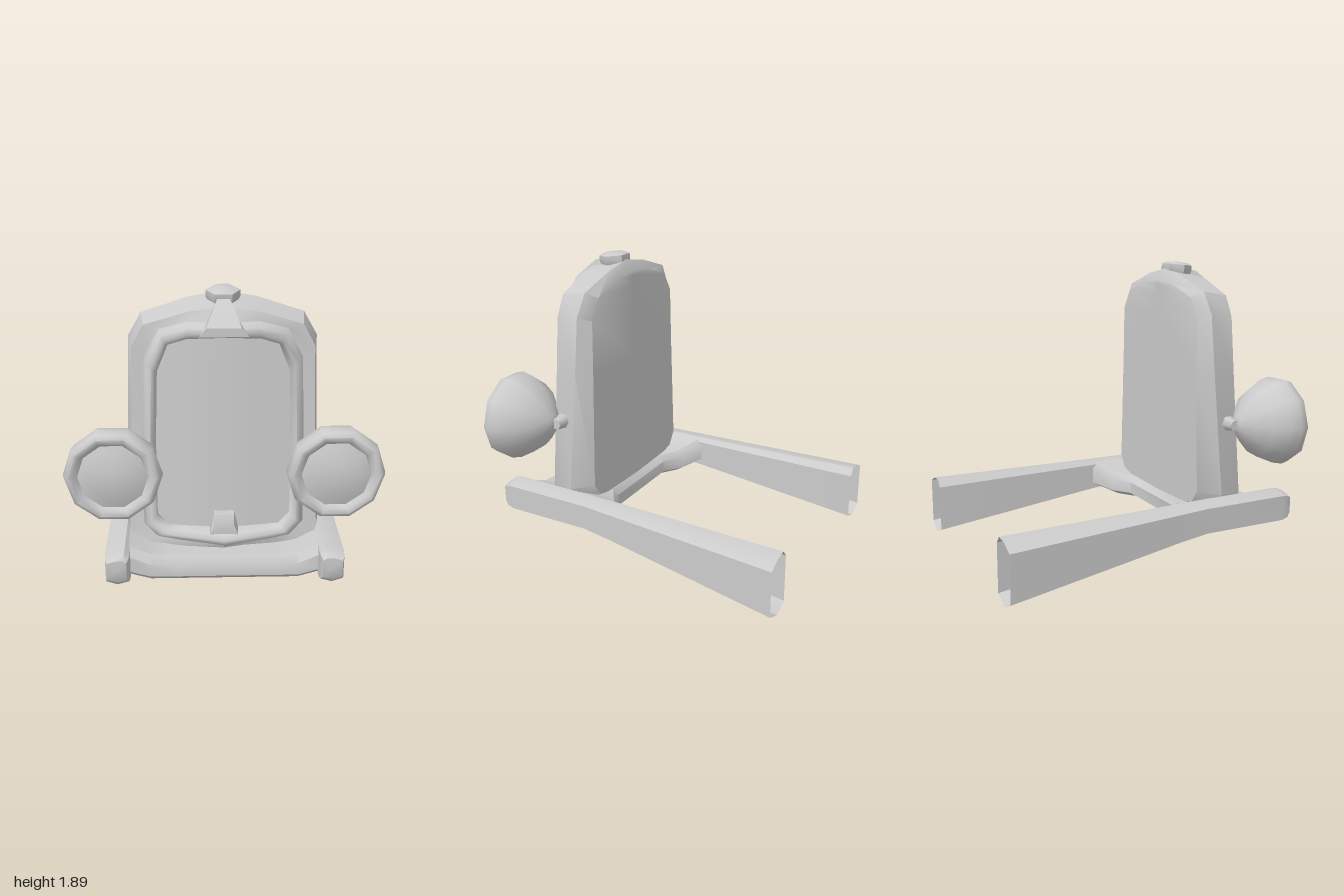
import * as THREE from 'three';
import { toCreasedNormals } from 'three/addons/utils/BufferGeometryUtils.js';

const grey = new THREE.MeshStandardMaterial({ color: 0xcccccc, side: THREE.DoubleSide });

function add(parent, name, geometry) {
  const mesh = new THREE.Mesh(geometry, grey);
  mesh.name = name;
  parent.add(mesh);
  return mesh;
}

// Skins closed rings of [x, y, z]; each ring runs clockwise seen from the end of the loft.
function loft(rings, crease = 0.7) {
  const n = rings[0].length;
  const index = [];
  for (let i = 0; i < rings.length - 1; i++) {
    for (let j = 0; j < n; j++) {
      const a = i * n + j, b = i * n + (j + 1) % n;
      index.push(a, a + n, b, b, a + n, b + n);
    }
  }
  const g = new THREE.BufferGeometry();
  g.setAttribute('position', new THREE.Float32BufferAttribute(rings.flat(2), 3));
  g.setIndex(index);
  return toCreasedNormals(g, crease);
}

// Ring shrunk to its middle, used to close a loft.
function collapsed(ring) {
  const c = [0, 1, 2].map(k => ring.reduce((s, p) => s + p[k], 0) / ring.length);
  return ring.map(() => c);
}

// Full outline from the half running top centre -> left side -> bottom centre.
function outline(half, z, xScale = 1) {
  const full = [...half, ...half.slice(1, -1).reverse().map(([x, y]) => [-x, y])];
  return full.map(([x, y]) => [x * xScale, y, z(Math.abs(x * xScale), y)]);
}

// Leaning, V-shaped front of the radiator
const lean = y => 0.67 + 0.062 * (1.55 - y);
const frameZ = (x, y) => lean(y) + 0.22 * (0.45 - x);
const grilleZ = (x, y) => lean(y) - 0.05 + 0.1 * (0.4 - x);

const backHalf = [[0, 1.77], [0.2, 1.75], [0.41, 1.68], [0.49, 1.55], [0.5, 1.2], [0.53, 0.45], [0.47, 0.36], [0.38, 0.34], [0, 0.33]];
const wideHalf = [[0, 1.845], [0.2, 1.81], [0.48, 1.72], [0.56, 1.58], [0.57, 1.2], [0.6, 0.42], [0.57, 0.33], [0.45, 0.3], [0, 0.3]];
const brimHalf = [[0, 1.8], [0.19, 1.775], [0.46, 1.69], [0.53, 1.56], [0.54, 1.2], [0.57, 0.42], [0.54, 0.33], [0.43, 0.3], [0, 0.3]];
const outerHalf = [[0, 1.72], [0.2, 1.72], [0.37, 1.67], [0.46, 1.5], [0.475, 1.1], [0.485, 0.46], [0.41, 0.385], [0.3, 0.375], [0, 0.36]];
const innerHalf = [[0, 1.64], [0.21, 1.62], [0.32, 1.58], [0.385, 1.42], [0.4, 1.0], [0.4, 0.53], [0.335, 0.46], [0.25, 0.455], [0, 0.45]];

function radiator() {
  const g = new THREE.Group();
  g.name = 'radiator';
  const flat = () => 0.375;
  const between = t => outerHalf.map(([x, y], i) => [
    x + (innerHalf[i][0] - x) * t, y + (innerHalf[i][1] - y) * t]);
  add(g, 'radiatorShell', loft([
    outline(backHalf, flat, 0),
    outline(backHalf, flat),
    outline(wideHalf, (x, y) => 0.42 + 0.07 * (1.84 - y)),
    outline(brimHalf, (x, y) => lean(y) - 0.06 + 0.12 * (0.5 - x)),
    outline(outerHalf, (x, y) => frameZ(x, y) - 0.06),
  ]));
  // Rounded rim around the grille
  add(g, 'grilleFrame', loft([
    outline(outerHalf, (x, y) => frameZ(x, y) - 0.06),
    outline(between(0.25), (x, y) => frameZ(x, y) - 0.01),
    outline(between(0.6), frameZ),
    outline(between(0.9), (x, y) => frameZ(x, y) - 0.025),
    outline(innerHalf, grilleZ),
  ], 1.2));
  add(g, 'grille', loft([
    outline(innerHalf, grilleZ),
    outline(innerHalf, grilleZ, 0.5),
    outline(innerHalf, grilleZ, 0),
  ]));

  // Neck running from the cap down to the rim
  const neck = [[0.5, 1.8, 1.85, 0.035], [0.64, 1.75, 1.83, 0.06], [0.73, 1.68, 1.745, 0.12], [0.765, 1.66, 1.71, 0.14]]
    .map(([z, y0, y1, w]) => [[-w * 0.7, y1, z], [w * 0.7, y1, z], [w, y0, z], [-w, y0, z]]);
  add(g, 'capNeck', loft([...neck, collapsed(neck[3])]));

  // Hexagonal filler cap
  const cap = toCreasedNormals(new THREE.LatheGeometry(
    [[0.08, -0.06], [0.1, -0.025], [0.1, 0.015], [0.07, 0.03], [0, 0.035]].map(p => new THREE.Vector2(...p)),
    6, Math.PI / 2), 0.6);
  const capMesh = add(g, 'fillerCap', cap);
  capMesh.position.set(0, 1.855, 0.515);
  capMesh.rotation.x = 0.1;

  // Small plate at the foot of the grille
  const plate = [[0.68, 0.09, 0.44, 0.56], [0.775, 0.085, 0.44, 0.56], [0.8, 0.085, 0.44, 0.5]]
    .map(([z, w, y0, y1]) => [[-0.06, y1, z], [0.06, y1, z], [w, y0, z], [-w, y0, z]]);
  add(g, 'grillePlate', loft([...plate, collapsed(plate[2])], 0.4));
  return g;
}

function frameRail(side) {
  // z, inner x, outer x, bottom, top
  const stations = [
    [-1, 0.6, 0.81, 0.005, 0.4], [0.15, 0.57, 0.725, 0.178, 0.41], [0.35, 0.57, 0.71, 0.2, 0.413],
    [0.93, 0.56, 0.705, 0.2, 0.415], [0.975, 0.565, 0.7, 0.215, 0.405], [1, 0.575, 0.69, 0.25, 0.385],
  ];
  const rings = stations.map(([z, xi, xo, yb, yt]) => {
    const w = xo - xi, h = yt - yb;
    const ring = [
      [xi + 0.2 * w, yt], [xi + 0.6 * w, yt - 0.02 * h], [xo, yt - 0.12 * h], [xo, yb + 0.12 * h],
      [xi + 0.5 * w, yb], [xi, yb + 0.1 * h], [xi, yt - 0.12 * h],
    ].map(([x, y]) => [x * side, y, z]);
    return side < 0 ? ring.reverse() : ring;
  });
  rings.push(collapsed(rings[rings.length - 1]));
  return loft(rings);
}

function crossmember() {
  // x, rear z, bottom, top
  const half = [[0.58, 0.15, 0.22, 0.4], [0.44, 0.25, 0.18, 0.34], [0.31, 0.34, 0.18, 0.33]];
  const stations = [...half.map(([x, ...r]) => [-x, ...r]), ...half.slice().reverse()];
  const rings = stations.map(([x, zb, yb, yt]) => [
    [0.85, yt], [zb + 0.04, yt], [zb, yt - 0.04], [zb, yb + 0.03],
    [zb + 0.05, yb], [0.86, yb], [0.89, yb + 0.03], [0.89, yt - 0.05],
  ].map(([z, y]) => [x, y, z]));
  return loft([collapsed(rings[0]), ...rings, collapsed(rings[rings.length - 1])]);
}

function headlamp(side) {
  const g = new THREE.Group();
  g.name = side > 0 ? 'leftHeadlamp' : 'rightHeadlamp';
  const turned = (points, crease) => {
    const lathe = new THREE.LatheGeometry(points.map(p => new THREE.Vector2(...p)), 10, Math.PI / 2);
    return toCreasedNormals(lathe.rotateX(Math.PI / 2), crease);
  };
  // Bowl and rolled rim, then the bulging lens
  const bowl = turned([[0, 0.585], [0.05, 0.595], [0.135, 0.65], [0.215, 0.725], [0.27, 0.82],
    [0.285, 0.89], [0.273, 0.94], [0.25, 0.957], [0.22, 0.95], [0.2, 0.925]], 0.9);
  const lens = turned([[0.2, 0.925], [0.14, 0.945], [0.07, 0.958], [0, 0.962]], 0.9);
  for (const [name, geo] of [['lampBowl', bowl], ['lampLens', lens]]) {
    add(g, name, geo).position.set(side * 0.637, 0.89, 0);
  }
  // Stub joining the bowl to the shell
  const stub = add(g, 'lampBracket', new THREE.CylinderGeometry(0.035, 0.055, 0.12, 6));
  stub.position.set(side * 0.59, 0.885, 0.575);
  stub.rotation.set(0, 0, -side * Math.PI / 2);
  return g;
}

export function createModel() {
  const model = new THREE.Group();
  model.name = 'vehicleFront';
  model.add(radiator());
  add(model, 'crossmember', crossmember());
  for (const side of [1, -1]) {
    add(model, side > 0 ? 'leftFrameRail' : 'rightFrameRail', frameRail(side));
    model.add(headlamp(side));
  }
  return model;
}
